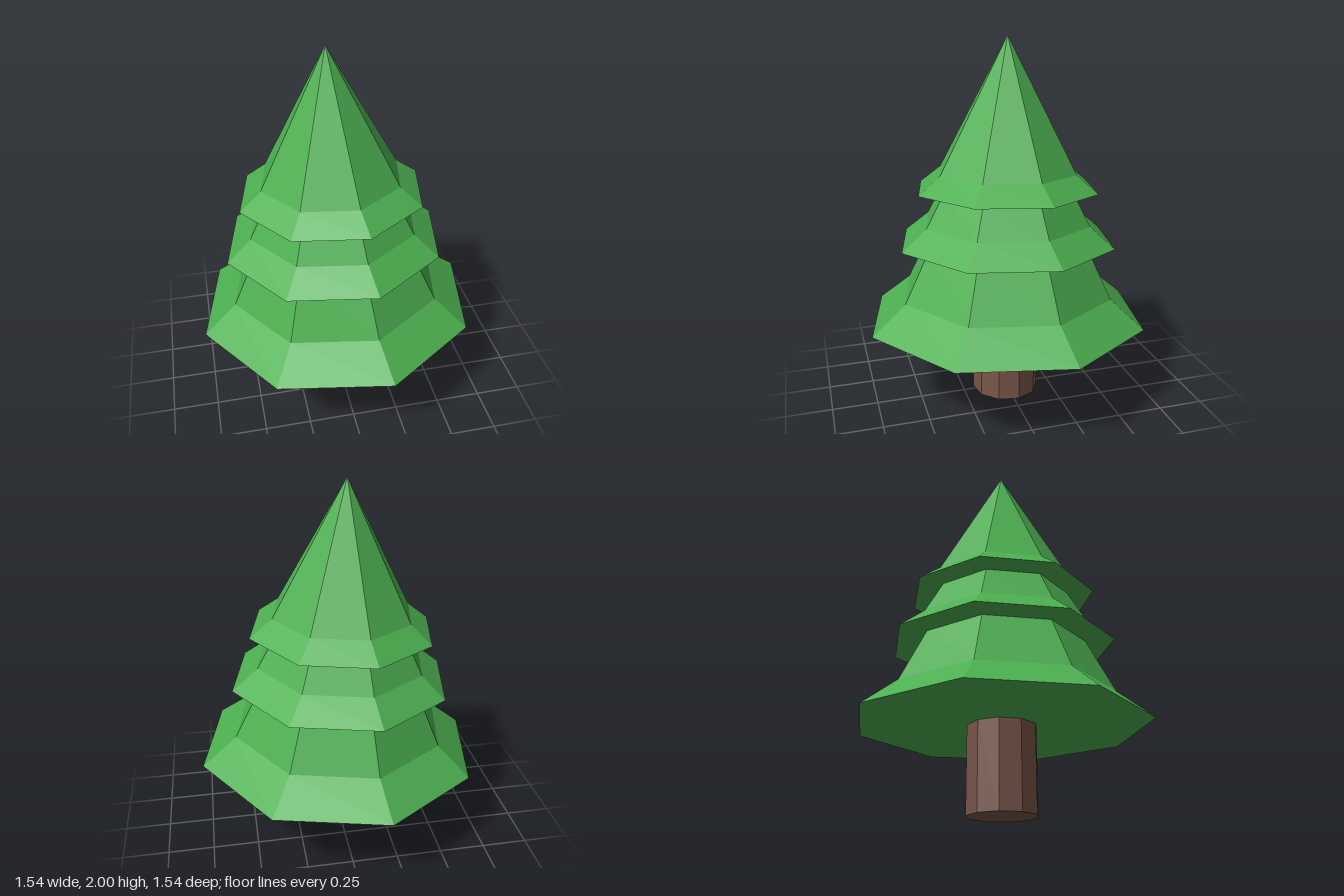
import * as THREE from 'three';

const leafMat = new THREE.MeshStandardMaterial({ color: 0x4caf50, flatShading: true });
const barkMat = new THREE.MeshStandardMaterial({ color: 0x795548, flatShading: true });

// Faceted solid of revolution from [radius, height] pairs
function lathe(name, profile, sides, turn, material) {
  const points = profile.map(([r, y]) => new THREE.Vector2(r, y));
  const mesh = new THREE.Mesh(new THREE.LatheGeometry(points, sides, turn), material);
  mesh.name = name;
  return mesh;
}

export function createModel() {
  const model = new THREE.Group();
  model.name = 'pineTree';

  // The whole tree leans slightly about the middle of its lowest skirt
  const pivotY = 0.463;
  const lean = new THREE.Group();
  lean.name = 'leaningTree';
  lean.position.y = pivotY;
  lean.rotation.set(-0.016, 0, 0.029);
  model.add(lean);

  // Ten-sided trunk
  const bottom = 0.007 - pivotY;
  lean.add(lathe('trunk', [[0, bottom], [0.185, bottom], [0.185, 0.01], [0, 0.01]],
    10, THREE.MathUtils.degToRad(-9), barkMat));

  // Eight-sided tiers: flat underside, flared skirt, steep cone up to the next tier
  const tiers = [
    { name: 'lowerTier', inner: 0, rim: 0.786, y: 0.463, neck: 0.598, neckY: 0.615, top: 0.455, topY: 0.902 },
    { name: 'middleTier', inner: 0.455, rim: 0.609, y: 0.902, neck: 0.47, neckY: 1.015, top: 0.37, topY: 1.195 },
    { name: 'upperTier', inner: 0.37, rim: 0.51, y: 1.195, neck: 0.388, neckY: 1.29, top: 0, topY: 2 },
  ];
  for (const t of tiers) {
    const profile = [[t.inner, t.y], [t.rim, t.y], [t.neck, t.neckY], [t.top, t.topY]];
    lean.add(lathe(t.name, profile.map(([r, y]) => [r, y - pivotY]),
      8, THREE.MathUtils.degToRad(10.8), leafMat));
  }
  return model;
}
